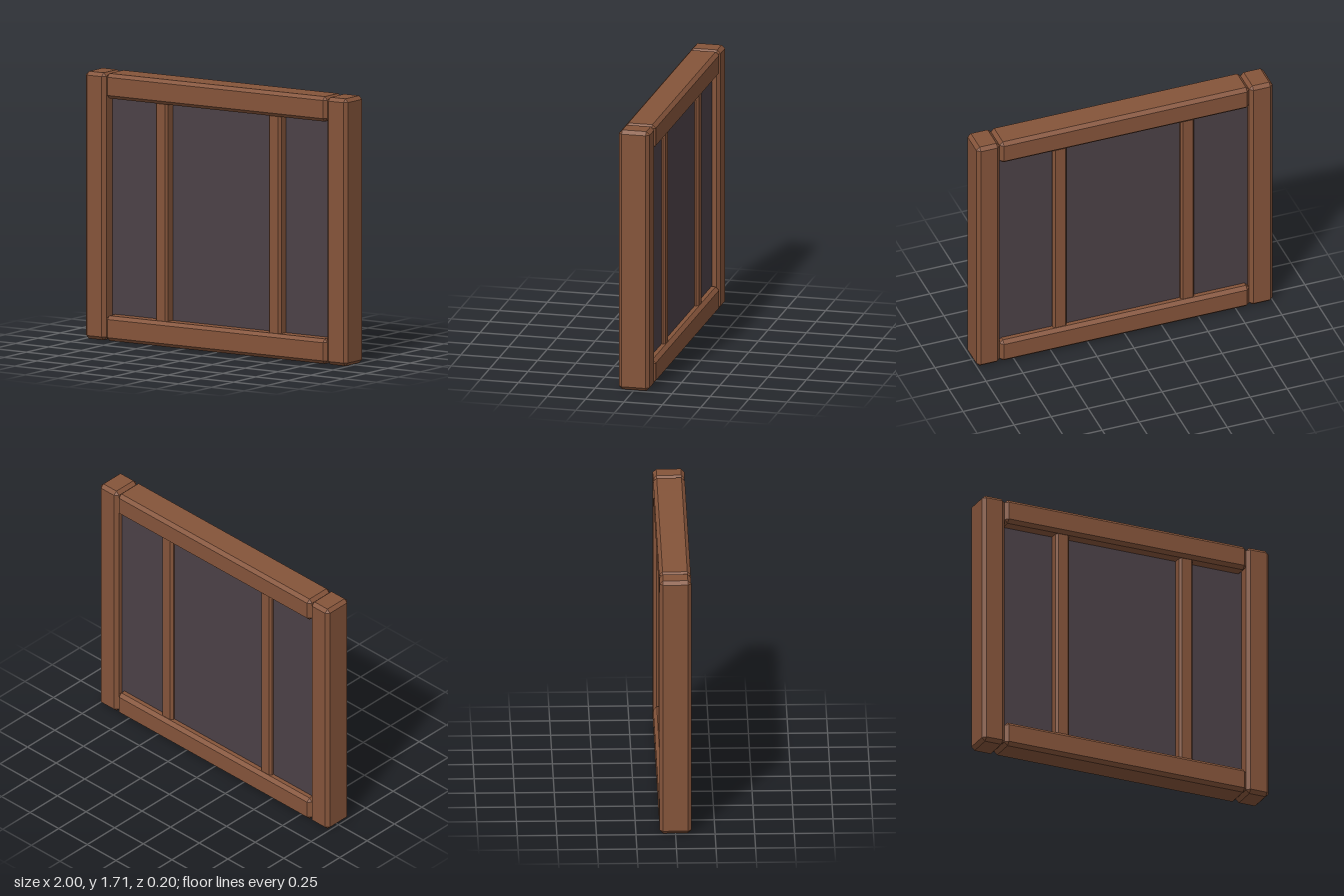
import * as THREE from 'three';
import { ConvexGeometry } from 'three/addons/geometries/ConvexGeometry.js';

// Box with every edge cut flat by c: three points at each corner
function chamferedBox(w, h, d, c) {
  const points = [];
  for (const sx of [-1, 1]) for (const sy of [-1, 1]) for (const sz of [-1, 1]) {
    for (let axis = 0; axis < 3; axis++) {
      const inset = [c, c, c];
      inset[axis] = 0;
      points.push(new THREE.Vector3(
        sx * (w / 2 - inset[0]), sy * (h / 2 - inset[1]), sz * (d / 2 - inset[2])));
    }
  }
  return new ConvexGeometry(points);
}

export function createModel() {
  const wood = new THREE.MeshStandardMaterial({ color: 0x85543a });
  wood.name = 'brown wood';
  const dark = new THREE.MeshStandardMaterial({ color: 0x4b4046 });
  dark.name = 'dark panel';

  const group = new THREE.Group();
  group.name = 'framedWallPanel';
  const add = (name, geometry, material, x, y, z = 0) => {
    const mesh = new THREE.Mesh(geometry, material);
    mesh.name = name;
    mesh.position.set(x, y, z);
    group.add(mesh);
  };

  const height = 1.71, depth = 0.2, postWidth = 0.157, railHeight = 0.16;
  const innerWidth = 2 - 2 * postWidth;
  const innerHeight = height - 2 * railHeight;

  // Outer posts and slimmer studs, mirrored left and right
  const post = chamferedBox(postWidth, height, depth, 0.022);
  const stud = chamferedBox(0.094, innerHeight + 0.06, 0.15, 0.014);
  for (const [side, s] of [['left', 1], ['right', -1]]) {
    add(side + 'Post', post, wood, s * (1 - postWidth / 2), height / 2);
    add(side + 'Stud', stud, wood, s * 0.431, height / 2);
  }

  // Top and bottom rails
  const rail = chamferedBox(innerWidth, railHeight, depth, 0.022);
  add('bottomRail', rail, wood, 0, railHeight / 2);
  add('topRail', rail, wood, 0, height - railHeight / 2);

  // Infill panel, set slightly towards the back
  add('infillPanel', new THREE.BoxGeometry(innerWidth + 0.02, innerHeight + 0.04, 0.06),
    dark, 0, height / 2, -0.02);

  return group;
}
